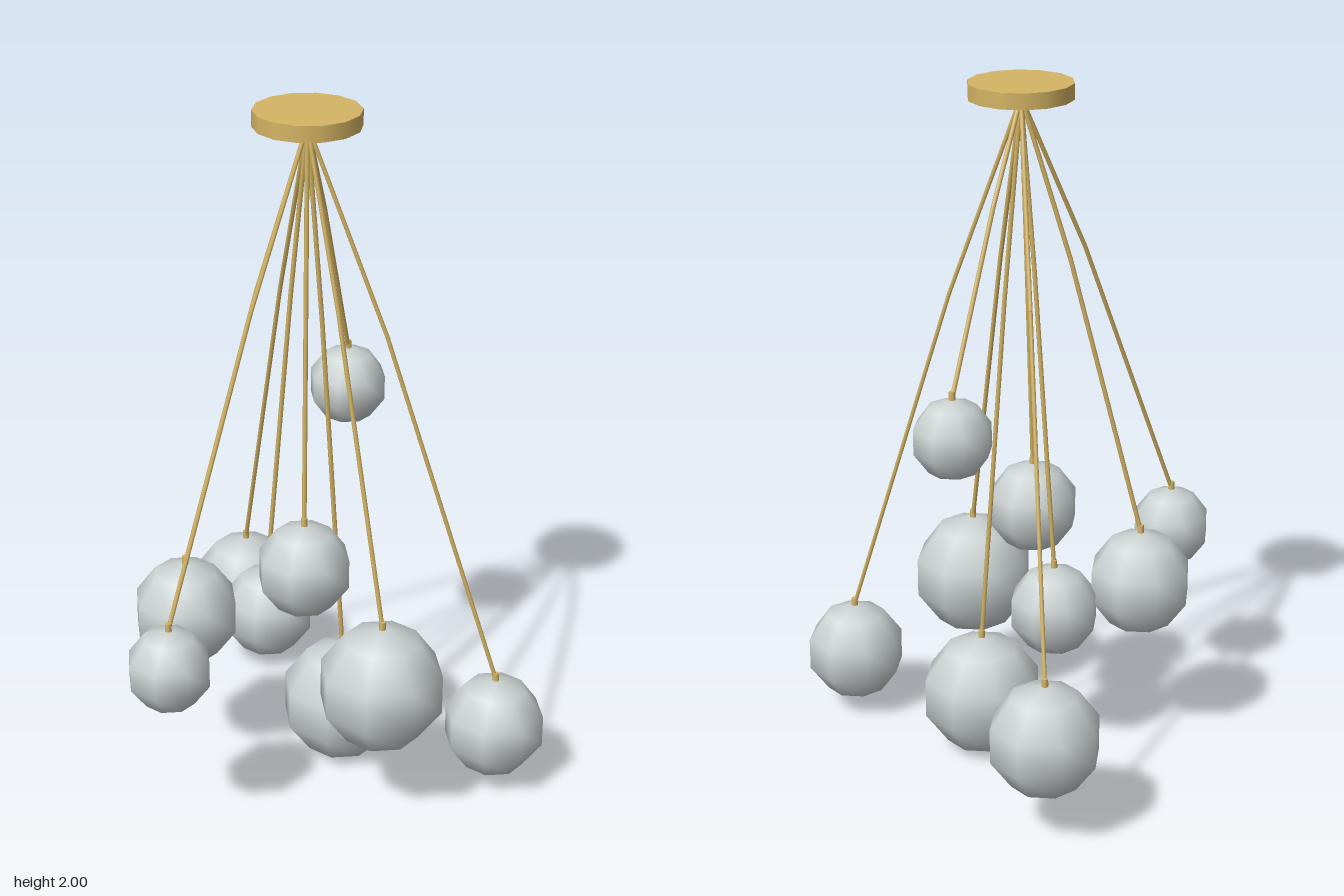
import * as THREE from 'three';

const brass = new THREE.MeshStandardMaterial({ color: 0xd4b464 });
const glass = new THREE.MeshStandardMaterial({ color: 0xccd3d3 });

// Each pendant globe: centre x, y, z and radius
const GLOBES = [
  [0.13, 0.305, -0.453, 0.164],
  [0.293, 1.08, -0.123, 0.116],
  [-0.288, 0.535, -0.02, 0.155],
  [-0.49, 0.56, 0.286, 0.121],
  [0.092, 0.417, 0.432, 0.184],
  [0.46, 0.196, 0.455, 0.15],
  [0.158, 0.182, 0.098, 0.181],
  [-0.03, 0.712, 0.205, 0.137],
  [-0.03, 0.475, -0.01, 0.134],
];
const HUB = new THREE.Vector3(0.033, 1.957, 0.097);

function add(parent, name, geometry, material) {
  const mesh = new THREE.Mesh(geometry, material);
  mesh.name = name;
  parent.add(mesh);
  return mesh;
}

// Straight rod between two points
function rod(parent, name, a, b, radius) {
  const dir = b.clone().sub(a);
  const mesh = add(parent, name, new THREE.CylinderGeometry(radius, radius, dir.length(), 6), brass);
  mesh.position.copy(a).addScaledVector(dir, 0.5);
  mesh.quaternion.setFromUnitVectors(new THREE.Vector3(0, 1, 0), dir.normalize());
}

function createPendant([x, y, z, r], index) {
  const pendant = new THREE.Group();
  pendant.name = `pendant${index + 1}`;

  // Low-sided glass globe
  add(pendant, 'globe', new THREE.SphereGeometry(r, 8, 5), glass).position.set(x, y, z);

  // Little brass cap on the globe
  const top = new THREE.Vector3(x, y + r, z);
  add(pendant, 'globeCap', new THREE.CylinderGeometry(0.009, 0.01, 0.024, 8), brass)
    .position.set(x, top.y + 0.008, z);

  // Cord in two lengths, bowed slightly outwards
  const bend = HUB.clone().lerp(top, 0.4);
  bend.y = THREE.MathUtils.lerp(HUB.y, top.y, 0.36);
  rod(pendant, 'upperCord', HUB, bend, 0.0065);
  rod(pendant, 'lowerCord', bend, top, 0.0065);
  return pendant;
}

export function createModel() {
  const model = new THREE.Group();
  model.name = 'clusterPendantLamp';

  // Ceiling plate
  const plate = add(model, 'ceilingPlate', new THREE.CylinderGeometry(0.147, 0.147, 0.045, 14), brass);
  plate.position.set(HUB.x, 1.9775, HUB.z);
  plate.rotation.y = Math.PI / 2;

  GLOBES.forEach((globe, i) => model.add(createPendant(globe, i)));
  return model;
}
